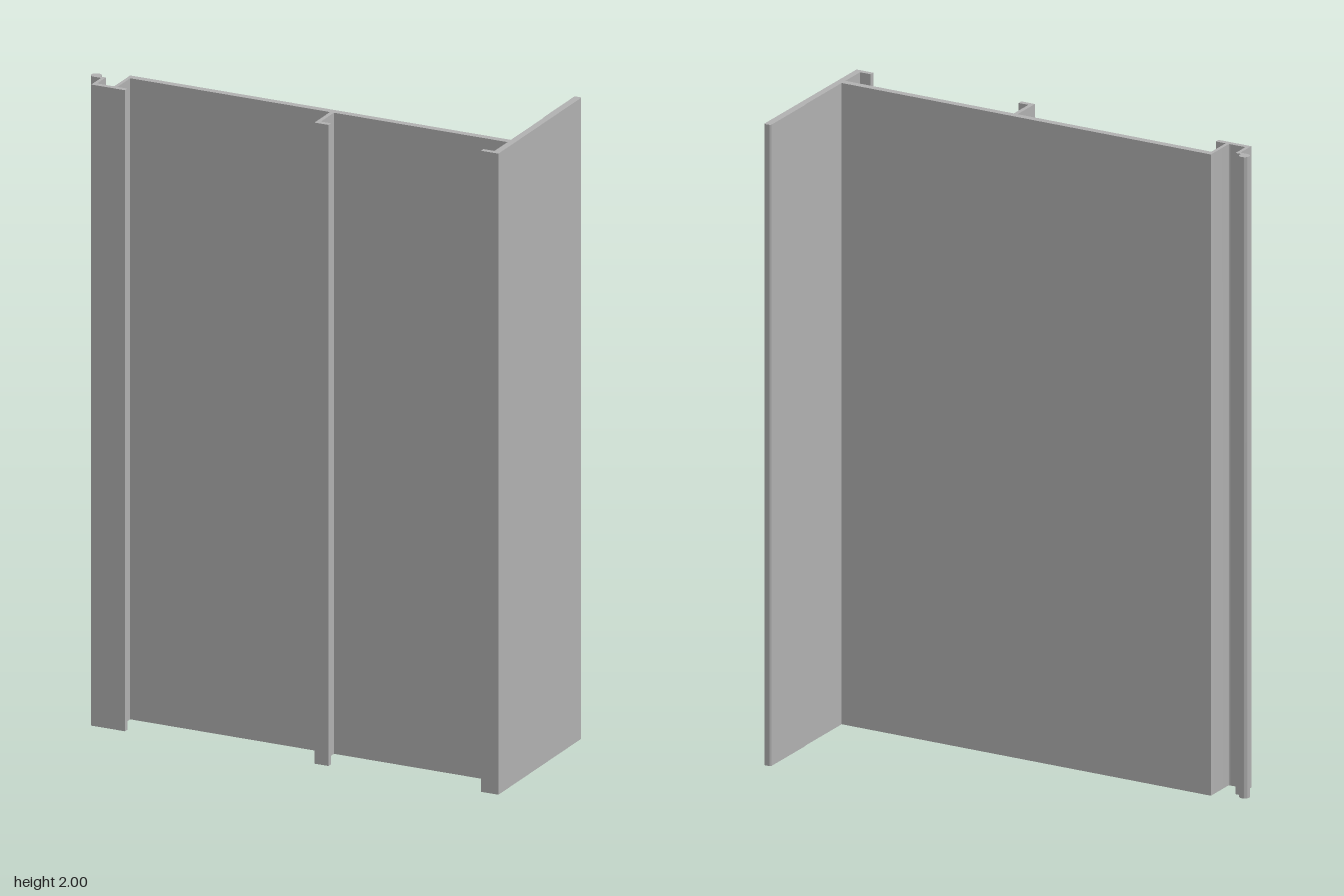
import * as THREE from 'three';
import { toCreasedNormals } from 'three/addons/utils/BufferGeometryUtils.js';

const HEIGHT = 2;

// Cross-section of the extruded panel, drawn as (x, -z)
function profileShape() {
  const s = new THREE.Shape();
  const line = (...pts) => pts.forEach(([x, z]) => s.lineTo(x, -z));
  const fillet = (cx, cz, x, z) => s.quadraticCurveTo(cx, -cz, x, -z);

  // outer side of the channel, then the round bead on its short arm
  s.moveTo(-0.651, -0.268);
  line([-0.651, 0.204], [-0.674, 0.204]);
  s.absarc(-0.674, -0.188, 0.016, -Math.PI / 2, -2 * Math.PI - 0.38, true);

  // inside of the channel with rounded corners
  line([-0.64, 0.194], [-0.64, 0.245]);
  fillet(-0.64, 0.252, -0.633, 0.252);
  line([-0.591, 0.252]);
  fillet(-0.584, 0.252, -0.584, 0.245);

  // back of the web, then around the side flange
  line([-0.584, 0.146], [0.666, 0.146], [0.666, -0.07], [0.664, -0.072]);
  line([0.664, -0.272], [0.668, -0.276], [0.683, -0.276], [0.687, -0.272]);

  // front lip of the side flange
  line([0.687, 0.27], [0.63, 0.27], [0.63, 0.254], [0.666, 0.254], [0.666, 0.168]);

  // hooked middle rib
  line([0.096, 0.168], [0.096, 0.254], [0.129, 0.254], [0.129, 0.27], [0.083, 0.27], [0.083, 0.168]);

  // front of the web and foot of the channel
  line([-0.573, 0.168], [-0.573, 0.252], [-0.54, 0.252], [-0.54, 0.268]);
  s.closePath();
  return s;
}

export function createModel() {
  const aluminium = new THREE.MeshStandardMaterial({ color: 0xb0b0b0 });
  aluminium.name = 'aluminium grey';

  const extruded = new THREE.ExtrudeGeometry(profileShape(), {
    depth: HEIGHT, bevelEnabled: false, curveSegments: 20,
  });
  extruded.rotateX(-Math.PI / 2);

  const panel = new THREE.Mesh(toCreasedNormals(extruded, Math.PI / 6), aluminium);
  panel.name = 'extrudedPanel';

  const group = new THREE.Group();
  group.name = 'panelProfile';
  group.add(panel);
  return group;
}
